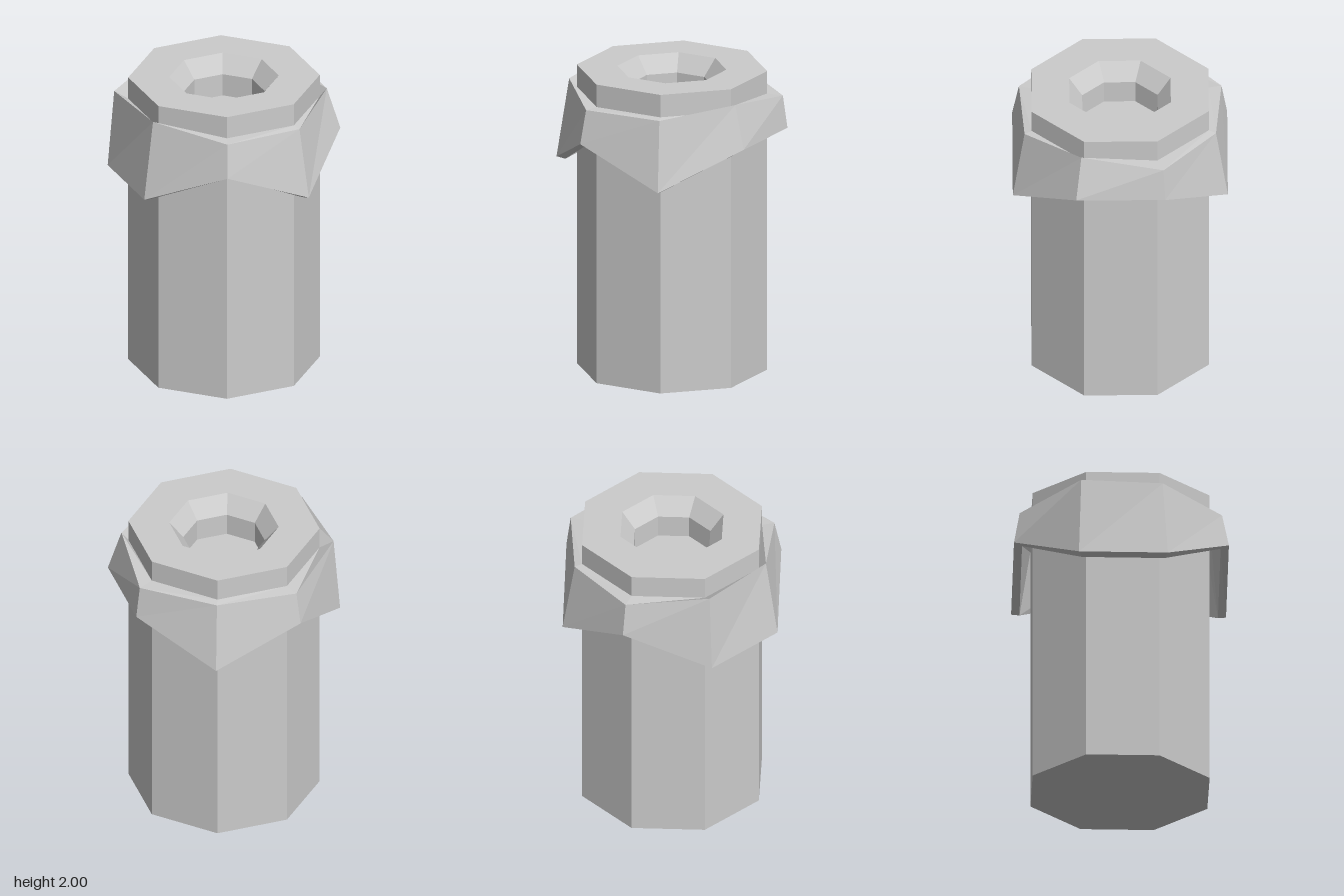
import * as THREE from 'three';

const SIDES = 8;
const BODY_R = 0.615;

// Joins closed rings of points, each listed from +x round through +z
function loft(rings) {
  const pos = rings.flat(2);
  const index = [];
  for (let j = 0; j < rings.length - 1; j++) {
    for (let i = 0; i < SIDES; i++) {
      const n = (i + 1) % SIDES;
      const a = j * SIDES + i, b = j * SIDES + n;
      const d = a + SIDES, c = b + SIDES;
      index.push(a, d, b, b, d, c);
    }
  }
  const geo = new THREE.BufferGeometry();
  geo.setAttribute('position', new THREE.Float32BufferAttribute(pos, 3));
  geo.setIndex(index);
  const flat = geo.toNonIndexed();
  flat.computeVertexNormals();
  return flat;
}

// Octagonal ring whose radius and height may vary by corner
function ring(radius, height) {
  return Array.from({ length: SIDES }, (_, i) => {
    const t = (i / SIDES) * Math.PI * 2;
    const r = radius(i);
    return [Math.cos(t) * r, height(i), Math.sin(t) * r];
  });
}

export function createModel() {
  const group = new THREE.Group();
  const material = new THREE.MeshStandardMaterial({ color: 0xcccccc, flatShading: true });

  // Octagonal post with a bevelled socket in its top
  const profile = [
    [0, 0], [BODY_R, 0], [BODY_R, 2], [0.352, 2], [0.262, 1.89], [0.262, 1.74], [0, 1.74],
  ].map(([x, y]) => new THREE.Vector2(x, y));
  const post = new THREE.Mesh(new THREE.LatheGeometry(profile, SIDES), material);
  post.name = 'post';
  group.add(post);

  // Draped collar: corners hang to uneven heights and flare outwards
  const topR = [0.66, 0.665, 0.7, 0.665, 0.705, 0.707, 0.665, 0.717];
  const topY = [1.905, 1.84, 1.845, 1.905, 1.905, 1.84, 1.84, 1.84];
  const hemY = [1.625, 1.38, 1.625, 1.38, 1.38, 1.625, 1.38, 1.625];
  const collarMaterial = material.clone();
  collarMaterial.side = THREE.DoubleSide;
  const collar = new THREE.Mesh(loft([
    ring(() => BODY_R, () => 1.8),             // inside, against the post
    ring(() => 0.69, i => hemY[i] - 0.015),    // inner hem
    ring(() => 0.747, i => hemY[i]),           // outer hem
    ring(i => topR[i], i => topY[i]),          // upper edge
    ring(() => BODY_R, () => 1.85),            // top, against the post
  ]), collarMaterial);
  collar.name = 'collar';
  group.add(collar);

  return group;
}
